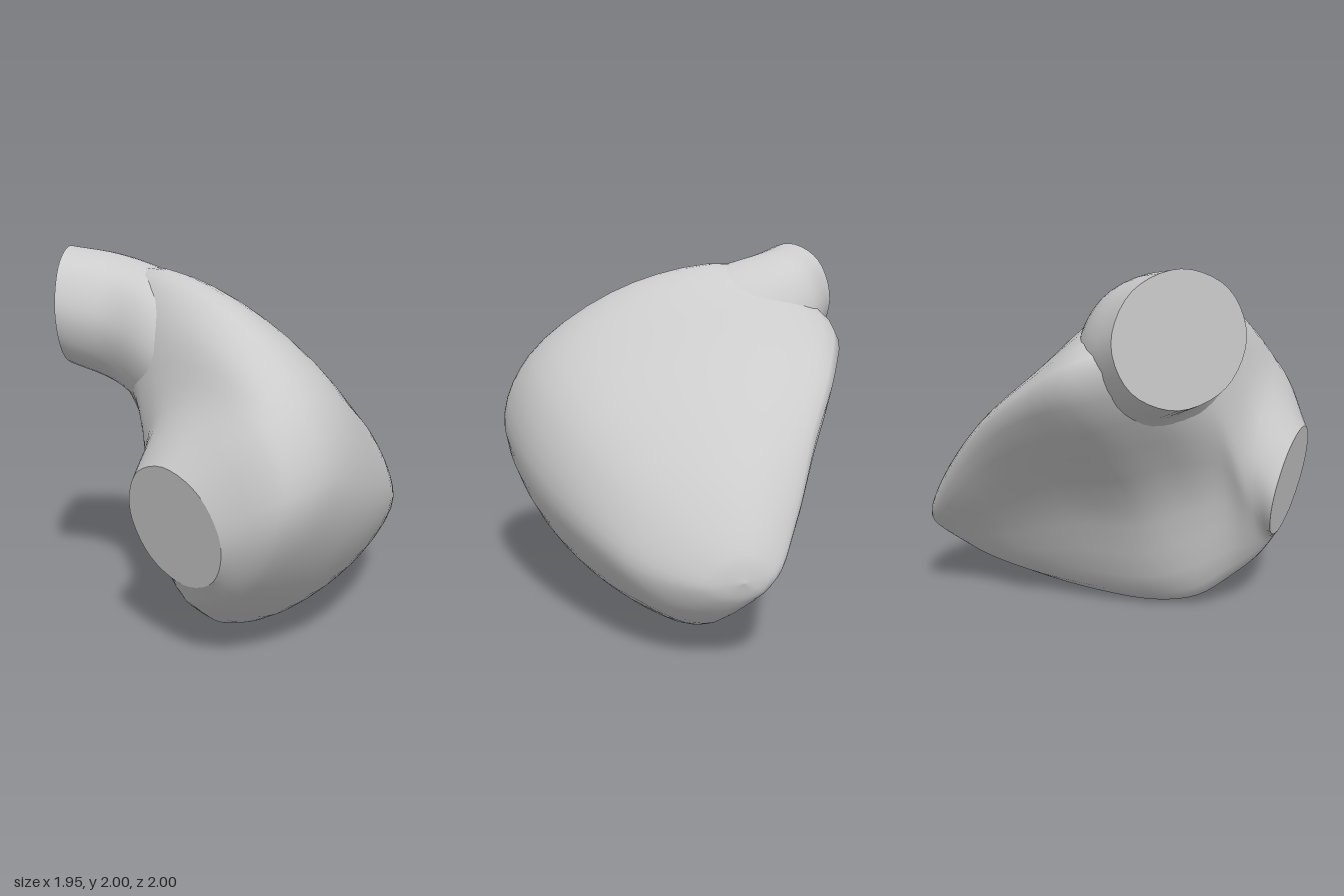
import * as THREE from 'three';

const SIDES = 40;
const material = new THREE.MeshStandardMaterial({ color: 0xcccccc });

const vec = (x, y, z) => new THREE.Vector3(x, y, z);

// Skin through closed rings of control points, smooth around and along.
function skin(rings, steps) {
  const smooth = rings.map(pts => {
    const curve = new THREE.CatmullRomCurve3(pts, true);
    return Array.from({ length: SIDES }, (_, j) => curve.getPoint(j / SIDES));
  });
  const lines = Array.from({ length: SIDES }, (_, j) =>
    new THREE.CatmullRomCurve3(smooth.map(r => r[j])).getPoints(steps));
  const pos = [], index = [];
  for (let i = 0; i <= steps; i++)
    for (let j = 0; j < SIDES; j++) pos.push(...lines[j][i].toArray());
  for (let i = 0; i < steps; i++)
    for (let j = 0; j < SIDES; j++) {
      const k = (j + 1) % SIDES;
      const a = i * SIDES + j, b = i * SIDES + k;
      index.push(a, b, b + SIDES, a, b + SIDES, a + SIDES);
    }
  return { geometry: build(pos, index), end: lines.map(l => l[steps]) };
}

// Flat disc closing an open ring.
function disc(ring) {
  const centre = ring.reduce((s, p) => s.add(p), vec(0, 0, 0)).divideScalar(ring.length);
  const pos = [centre, ...ring].flatMap(p => p.toArray());
  const index = ring.flatMap((_, j) => [0, j + 1, ((j + 1) % ring.length) + 1]);
  return build(pos, index);
}

function build(pos, index) {
  const g = new THREE.BufferGeometry();
  g.setAttribute('position', new THREE.Float32BufferAttribute(pos, 3));
  g.setIndex(index);
  g.computeVertexNormals();
  return g;
}

// Ring of eight points around an ellipse spanned by u and v.
const ellipse = (c, u, v) => Array.from({ length: 8 }, (_, k) => {
  const t = k * Math.PI / 4;
  return c.clone().addScaledVector(u, Math.cos(t)).addScaledVector(v, Math.sin(t));
});

export function createModel() {
  const group = new THREE.Group();
  const add = (name, geometry) => {
    const mesh = new THREE.Mesh(geometry, material);
    mesh.name = name;
    group.add(mesh);
  };

  // Chamber: cross-sections from the rear tip forward, each x,y pairs
  // from the right side over the top, the left rim and the bottom.
  const sections = [
    [-0.97, [0.02, 0.46, -0.05, 0.56, -0.18, 0.61, -0.28, 0.58, -0.34, 0.5, -0.28, 0.41, -0.17, 0.37, -0.04, 0.39]],
    [-0.8, [0.3, 0.5, 0.16, 0.72, -0.14, 0.86, -0.36, 0.84, -0.48, 0.71, -0.28, 0.41, -0.07, 0.2, 0.17, 0.28]],
    [-0.5, [0.55, 0.6, 0.4, 0.92, -0.04, 1.13, -0.44, 1.16, -0.65, 1.05, -0.32, 0.5, 0, 0.09, 0.34, 0.25]],
    [-0.1, [0.78, 0.72, 0.62, 1.15, 0.06, 1.42, -0.54, 1.48, -0.86, 1.34, -0.36, 0.68, 0.05, 0.02, 0.51, 0.24]],
    [0.25, [0.92, 0.83, 0.77, 1.33, 0.16, 1.71, -0.52, 1.79, -0.95, 1.5, -0.28, 0.7, 0.1, 0, 0.62, 0.27]],
    [0.5, [0.98, 0.93, 0.82, 1.37, 0.2, 1.79, -0.48, 1.87, -0.76, 1.55, -0.14, 0.78, 0.13, 0.06, 0.67, 0.34]],
    [0.68, [0.97, 0.9, 0.82, 1.32, 0.3, 1.62, -0.15, 1.62, -0.27, 1.35, -0.03, 0.8, 0.2, 0.19, 0.65, 0.38]],
    [0.8, [0.92, 0.88, 0.77, 1.25, 0.38, 1.33, 0.08, 1.23, -0.03, 0.98, 0.03, 0.66, 0.26, 0.3, 0.63, 0.43]],
  ];
  const rings = sections.map(([z, s]) =>
    Array.from({ length: 8 }, (_, k) => vec(s[2 * k], s[2 * k + 1], z)));
  rings.unshift(Array.from({ length: 8 }, () => vec(-0.18, 0.48, -1)));
  rings.push(ellipse(vec(0.36, 0.74, 0.945), vec(0.335, 0, 0), vec(0, 0.31, 0.055)));
  const chamber = skin(rings, 36);
  add('chamber', chamber.geometry);
  add('frontOpeningDisc', disc(chamber.end));

  // Upper side tube, growing out of the chamber.
  const u = vec(0.62, 0, 0.78), v = vec(0, 1, 0);
  const tubeRings = [
    [0.05, 1.28, 0.3, 0.4, 0.42],
    [-0.3, 1.45, 0.4, 0.42, 0.42],
    [-0.6, 1.6, 0.5, 0.355, 0.355],
    [-0.77, 1.68, 0.69, 0.32, 0.32],
  ].map(([x, y, z, a, b]) =>
    ellipse(vec(x, y, z), u.clone().multiplyScalar(a), v.clone().multiplyScalar(b)));
  const tube = skin(tubeRings, 18);
  add('sideTube', tube.geometry);
  add('sideOpeningDisc', disc(tube.end));

  return group;
}
